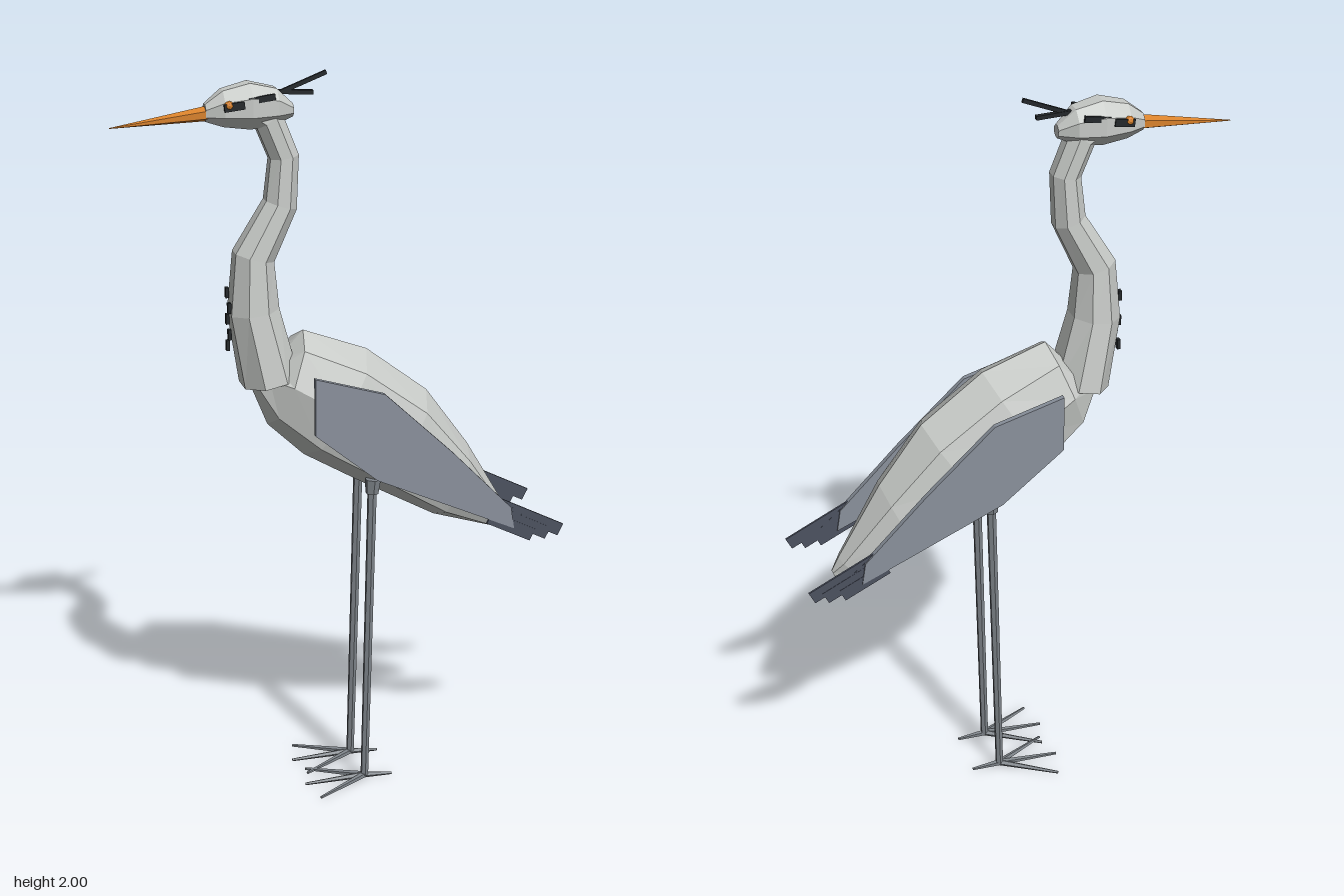
import * as THREE from 'three';

const mat = (name, color) => { const m = new THREE.MeshStandardMaterial({ color }); m.name = name; return m; };

export function createModel() {
  const plumage = mat('pale grey plumage', 0xc8cbc8);
  const wingGrey = mat('wing grey', 0x8a919c);
  const slate = mat('slate feather', 0x4c5260);
  const black = mat('black', 0x23272a);
  const orange = mat('beak orange', 0xd9822b);
  const legGrey = mat('leg grey', 0x7d8389);
  const bird = new THREE.Group();
  bird.name = 'wadingBird';

  // Faceted mesh
  function add(name, geometry, material, parent = bird) {
    const g = geometry.index ? geometry.toNonIndexed() : geometry;
    g.computeVertexNormals();
    const mesh = new THREE.Mesh(g, material);
    mesh.name = name;
    parent.add(mesh);
    return mesh;
  }

  // Capped skin over rings given as { x, y, ux, uy, w }: centre, half-height vector, half-width
  function loft(rings, sides, offset) {
    const pos = [];
    const point = (r, j) => {
      const a = (j / sides) * Math.PI * 2 + offset;
      return [r.x + r.ux * Math.cos(a), r.y + r.uy * Math.cos(a), r.w * Math.sin(a)];
    };
    const first = rings[0], last = rings[rings.length - 1];
    for (let j = 0; j < sides; j++) {
      for (let i = 0; i < rings.length - 1; i++) {
        const a = point(rings[i], j), b = point(rings[i], j + 1);
        const c = point(rings[i + 1], j + 1), d = point(rings[i + 1], j);
        pos.push(...a, ...b, ...c, ...a, ...c, ...d);
      }
      pos.push(first.x, first.y, 0, ...point(first, j + 1), ...point(first, j));
      pos.push(last.x, last.y, 0, ...point(last, j), ...point(last, j + 1));
    }
    const g = new THREE.BufferGeometry();
    g.setAttribute('position', new THREE.Float32BufferAttribute(pos, 3));
    return g;
  }

  // Tapered rod between two points
  function rod(name, from, to, r0, r1, sides, material, parent) {
    const a = new THREE.Vector3(...from), b = new THREE.Vector3(...to);
    const mesh = add(name, new THREE.CylinderGeometry(r1, r0, a.distanceTo(b), sides), material, parent);
    mesh.position.copy(a).add(b).multiplyScalar(0.5);
    mesh.quaternion.setFromUnitVectors(new THREE.Vector3(0, 1, 0), b.sub(a).normalize());
    return mesh;
  }

  // Flat plate cut from a side outline, centred on z
  function plate(name, points, depth, z, material, parent) {
    const shape = new THREE.Shape(points.map(p => new THREE.Vector2(...p)));
    const mesh = add(name, new THREE.ExtrudeGeometry(shape, { depth, bevelEnabled: false }), material, parent);
    mesh.position.z = z - depth / 2;
    return mesh;
  }

  // Straight strip in the side plane
  function strip(name, [x0, y0], [x1, y1], height, depth, z, material, parent) {
    const g = new THREE.BoxGeometry(Math.hypot(x1 - x0, y1 - y0), height, depth);
    const mesh = add(name, g, material, parent);
    mesh.position.set((x0 + x1) / 2, (y0 + y1) / 2, z);
    mesh.rotation.z = Math.atan2(y1 - y0, x1 - x0);
    return mesh;
  }

  // Body: top x, y, bottom x, y, half-width
  const body = [
    [-0.17, 1.24, -0.24, 1.16, 0.055],
    [-0.10, 1.315, -0.20, 1.06, 0.107],
    [0.075, 1.25, -0.10, 0.965, 0.137],
    [0.245, 1.12, 0.07, 0.865, 0.135],
    [0.365, 0.955, 0.27, 0.755, 0.105],
    [0.485, 0.75, 0.43, 0.705, 0.042],
    [0.505, 0.71, 0.495, 0.688, 0.012],
  ].map(([tx, ty, bx, by, w]) => ({
    x: (tx + bx) / 2, y: (ty + by) / 2, ux: (tx - bx) / 2, uy: (ty - by) / 2, w,
  }));
  add('body', loft(body, 8, 0), plumage);

  // Neck: x, y, radius, following an S curve
  const path = [
    [-0.195, 1.19, 0.08], [-0.235, 1.38, 0.07], [-0.233, 1.525, 0.057], [-0.16, 1.66, 0.046],
    [-0.15, 1.785, 0.041], [-0.19, 1.885, 0.042], [-0.25, 1.92, 0.035],
  ];
  const neck = path.map(([x, y, r], i) => {
    const p = path[Math.max(i - 1, 0)], n = path[Math.min(i + 1, path.length - 1)];
    const len = Math.hypot(n[0] - p[0], n[1] - p[1]);
    return { x, y, ux: -(n[1] - p[1]) / len * r, uy: (n[0] - p[0]) / len * r, w: i ? r * 1.08 : 0.1 };
  });
  add('neck', loft(neck, 8, Math.PI / 8), plumage);

  // Head: x, y, half-height, half-width
  const head = [
    [-0.355, 1.908, 0.024, 0.025], [-0.31, 1.918, 0.05, 0.05], [-0.24, 1.922, 0.064, 0.063],
    [-0.17, 1.918, 0.05, 0.052], [-0.125, 1.905, 0.018, 0.02],
  ].map(([x, y, uy, w]) => ({ x, y, ux: 0, uy, w }));
  add('head', loft(head, 8, Math.PI / 8), plumage);

  // Beak
  add('beak', loft([
    { x: -0.6, y: 1.88, ux: 0, uy: 0.001, w: 0.001 },
    { x: -0.345, y: 1.906, ux: 0, uy: 0.02, w: 0.027 },
  ], 6, 0), orange);

  // Crest plumes
  strip('longCrestPlume', [-0.21, 1.93], [-0.035, 1.997], 0.011, 0.009, 0, black);
  strip('shortCrestPlume', [-0.215, 1.955], [-0.07, 1.947], 0.011, 0.013, 0, black);

  // Dark flecks down the front of the neck
  for (let i = 0; i < 5; i++) {
    const fleck = add('neckFleck', new THREE.BoxGeometry(0.009, 0.028, 0.014), black);
    fleck.position.set(-0.302, 1.285 + i * 0.036, i % 2 ? 0.012 : -0.012);
  }

  // Mirrored parts
  for (const s of [1, -1]) {
    const side = new THREE.Group();
    side.name = s > 0 ? 'leftSide' : 'rightSide';
    bird.add(side);

    // Eye and eye stripes
    const eye = add('eye', new THREE.IcosahedronGeometry(0.012, 1), orange, side);
    eye.position.set(-0.302, 1.932, s * 0.051);
    strip('eyeStripeFront', [-0.315, 1.926], [-0.262, 1.932], 0.02, 0.008, s * 0.055, black, side);
    strip('eyeStripeRear', [-0.25, 1.94], [-0.182, 1.949], 0.016, 0.008, s * 0.052, black, side);

    // Folded wing with staggered flight feathers
    plate('wing', [
      [-0.105, 1.222], [-0.105, 1.065], [0.065, 0.925], [0.455, 0.748], [0.445, 0.81], [0.275, 0.985], [0.085, 1.165],
    ], 0.016, s * 0.143, wingGrey, side);
    [[0.592, 0.728], [0.555, 0.722], [0.51, 0.722]].forEach(([x, y], i) =>
      strip('flightFeather', [0.385, 0.833 - i * 0.024], [x, y], 0.036, 0.006, s * (0.143 + i * 0.001), slate, side));
    plate('featherEdge', [[0.43, 0.825], [0.40, 0.775], [0.455, 0.745], [0.5, 0.765]], 0.007, s * 0.143, slate, side);

    // Leg
    const z = s * 0.075, ankle = [0.053, 0.012, z];
    rod('leg', ankle, [0.073, 0.88, s * 0.071], 0.011, 0.013, 6, legGrey, side);
    rod('thigh', [0.072, 0.86, s * 0.071], [0.075, 0.9, s * 0.07], 0.018, 0.022, 6, legGrey, side);

    // Three front toes and one back toe
    for (const [dx, dz] of [[-0.172, 0], [-0.15, 0.088], [-0.15, -0.088], [0.08, 0]])
      rod('toe', ankle, [ankle[0] + dx, 0.006, z + dz], 0.009, 0.004, 5, legGrey, side);
  }
  return bird;
}
